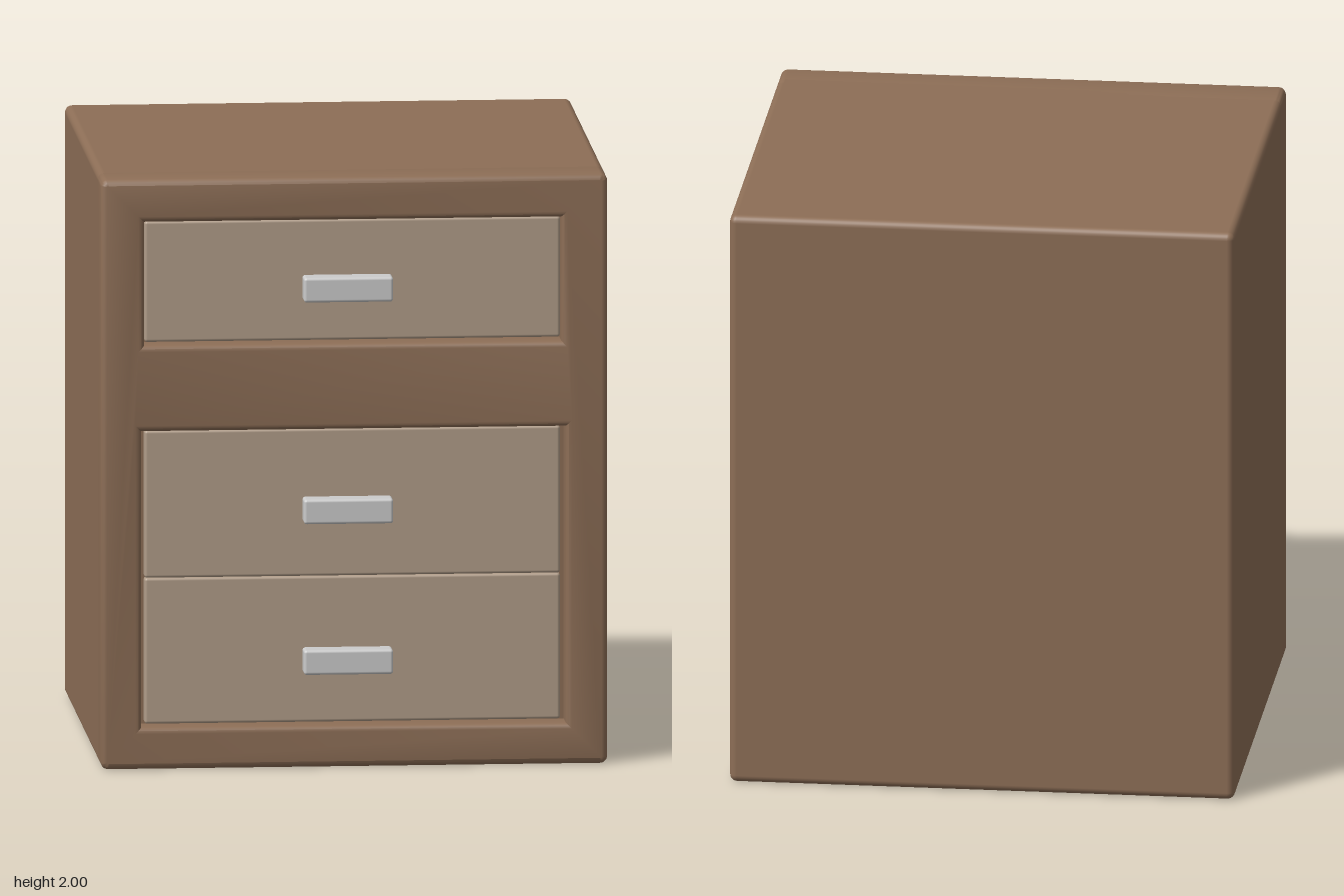
import * as THREE from 'three';
import { RoundedBoxGeometry } from 'three/addons/geometries/RoundedBoxGeometry.js';
import { toCreasedNormals } from 'three/addons/utils/BufferGeometryUtils.js';

const wood = new THREE.MeshStandardMaterial({ color: 0x8d6e56 });
const paleWood = new THREE.MeshStandardMaterial({ color: 0xb19d89 });
const metal = new THREE.MeshStandardMaterial({ color: 0xcccccc });

// Rounded box given by its limits on each axis
function block(name, [x0, x1], [y0, y1], [z0, z1], radius, material) {
  const geometry = new RoundedBoxGeometry(x1 - x0, y1 - y0, z1 - z0, 3, radius);
  const mesh = new THREE.Mesh(geometry, material);
  mesh.position.set((x0 + x1) / 2, (y0 + y1) / 2, (z0 + z1) / 2);
  mesh.name = name;
  return mesh;
}

// Rectangle outline with rounded corners
function roundedRect(path, x0, x1, y0, y1, r) {
  path.absarc(x1 - r, y0 + r, r, -Math.PI / 2, 0);
  path.absarc(x1 - r, y1 - r, r, 0, Math.PI / 2);
  path.absarc(x0 + r, y1 - r, r, Math.PI / 2, Math.PI);
  path.absarc(x0 + r, y0 + r, r, Math.PI, Math.PI * 1.5);
  path.closePath();
  return path;
}

// Front frame with two openings and softened edges
function createFrame() {
  const shape = roundedRect(new THREE.Shape(), -0.85, 0.85, 0, 2, 0.025);
  for (const [x0, x1, y0, y1] of [[-0.705, 0.695, 1.435, 1.855], [-0.715, 0.71, 0.14, 1.145]]) {
    const hole = new THREE.Path();
    hole.moveTo(x0, y0);
    hole.lineTo(x0, y1);
    hole.lineTo(x1, y1);
    hole.lineTo(x1, y0);
    hole.closePath();
    shape.holes.push(hole);
  }
  const bevel = 0.02;
  const geometry = new THREE.ExtrudeGeometry(shape, {
    depth: 0.135, bevelEnabled: true, bevelThickness: bevel, bevelSize: bevel,
    bevelOffset: -bevel, bevelSegments: 3, curveSegments: 4,
  });
  const frame = new THREE.Mesh(toCreasedNormals(geometry, 0.7), wood);
  frame.position.z = 0.62;
  frame.name = 'frontFrame';
  return frame;
}

export function createModel() {
  const model = new THREE.Group();
  model.name = 'drawerCabinet';

  // Closed body behind the frame
  model.add(block('carcass', [-0.85, 0.85], [0, 2], [-0.79, 0.68], 0.025, wood));
  model.add(createFrame());

  // Recessed drawers, each with a bar handle
  const drawers = [
    { name: 'topDrawer', y: [1.44, 1.85], handleY: 1.62 },
    { name: 'middleDrawer', y: [0.64, 1.14], handleY: 0.868 },
    { name: 'bottomDrawer', y: [0.145, 0.64], handleY: 0.357 },
  ];
  for (const { name, y, handleY } of drawers) {
    const drawer = new THREE.Group();
    drawer.name = name;
    drawer.add(block('drawerFront', [-0.7, 0.695], y, [0.64, 0.72], 0.01, paleWood));
    drawer.add(block('handle', [-0.17, 0.13], [handleY - 0.042, handleY + 0.042], [0.7, 0.79], 0.01, metal));
    model.add(drawer);
  }
  return model;
}
